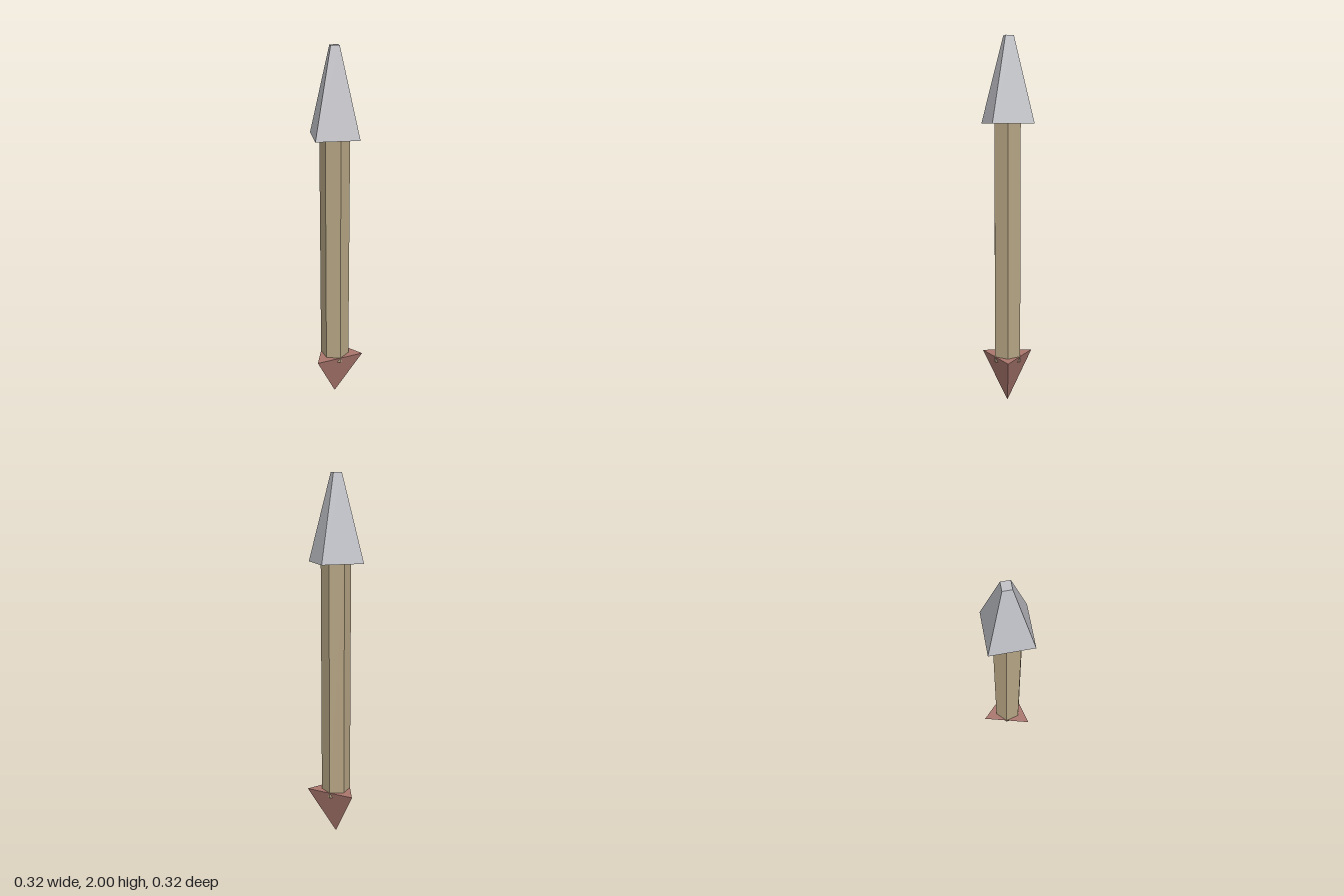
import * as THREE from 'three';

// Low-poly prism or tapered solid standing between two heights
function taper(name, color, rTop, rBottom, yBottom, yTop, sides) {
  const geometry = new THREE.CylinderGeometry(rTop, rBottom, yTop - yBottom, sides);
  geometry.translate(0, (yBottom + yTop) / 2, 0);
  const mesh = new THREE.Mesh(geometry, new THREE.MeshStandardMaterial({ color, flatShading: true }));
  mesh.name = name;
  return mesh;
}

export function createModel() {
  const group = new THREE.Group();
  group.name = 'arrow';

  // Hexagonal wooden shaft, sunk a little into the tail
  group.add(taper('shaft', 0xb4a382, 0.08, 0.08, 0.235, 1.56, 6));

  // Three-sided tail, pointing down
  group.add(taper('tail', 0xa9766d, 0.16, 0, 0, 0.265, 3));

  // Four-sided blunt head; its tip leans slightly off centre
  const head = taper('head', 0xc0c1c6, 0.032, 0.162, 1.543, 2, 4);
  const p = head.geometry.attributes.position;
  for (let i = 0; i < p.count; i++) {
    if (p.getY(i) > 1.9) {
      p.setX(i, p.getX(i) - 0.004);
      p.setZ(i, p.getZ(i) - 0.004);
    }
  }
  head.geometry.computeVertexNormals();
  group.add(head);

  return group;
}
